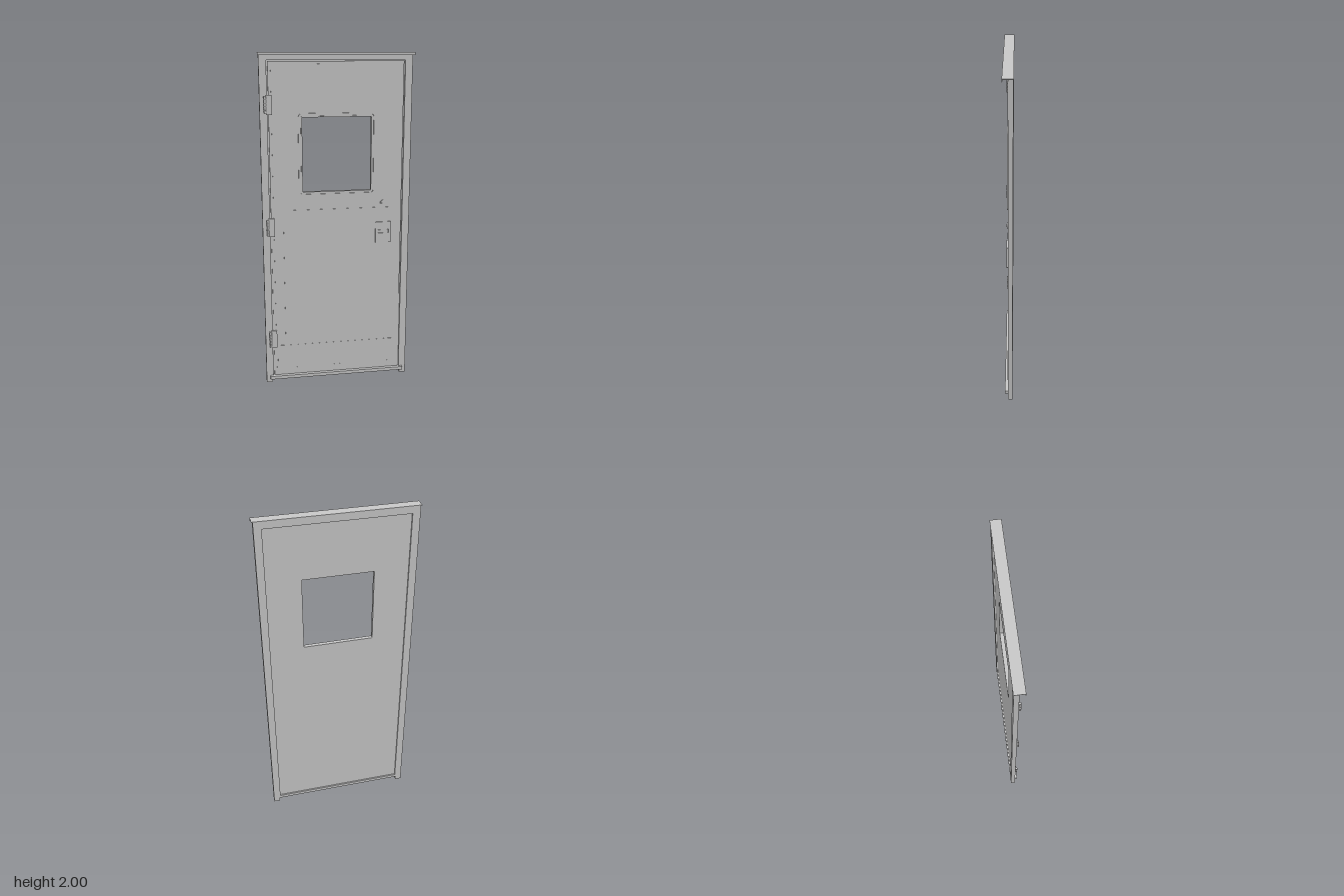
import * as THREE from 'three';

const steel = new THREE.MeshStandardMaterial({ color: 0xc7c7c7 });
steel.name = 'light grey steel';

// Rounded rectangle outline from its edges
function roundRect(Type, x0, x1, y0, y1, r) {
  const p = new Type();
  if (r === 0) {
    p.moveTo(x0, y0).lineTo(x1, y0).lineTo(x1, y1).lineTo(x0, y1).closePath();
    return p;
  }
  p.absarc(x1 - r, y0 + r, r, -Math.PI / 2, 0);
  p.absarc(x1 - r, y1 - r, r, 0, Math.PI / 2);
  p.absarc(x0 + r, y1 - r, r, Math.PI / 2, Math.PI);
  p.absarc(x0 + r, y0 + r, r, Math.PI, Math.PI * 1.5);
  p.closePath();
  return p;
}

export function createModel() {
  const model = new THREE.Group();
  model.name = 'door';

  function add(name, geometry, parent = model) {
    const mesh = new THREE.Mesh(geometry, steel);
    mesh.name = name;
    parent.add(mesh);
    return mesh;
  }
  function box(name, x0, x1, y0, y1, z0, z1, parent) {
    const g = new THREE.BoxGeometry(x1 - x0, y1 - y0, z1 - z0);
    g.translate((x0 + x1) / 2, (y0 + y1) / 2, (z0 + z1) / 2);
    return add(name, g, parent);
  }
  function slab(name, shape, z0, z1, parent) {
    const g = new THREE.ExtrudeGeometry(shape, { depth: z1 - z0, curveSegments: 6, bevelEnabled: false });
    g.translate(0, 0, z0);
    return add(name, g, parent);
  }
  function disc(name, x, y, z0, z1, r, parent, sides = 24) {
    const g = new THREE.CylinderGeometry(r, r, z1 - z0, sides);
    g.rotateX(Math.PI / 2).translate(x, y, (z0 + z1) / 2);
    return add(name, g, parent);
  }

  // Frame: two jambs and a head, open at the bottom
  const frame = new THREE.Shape([
    [-0.443, 0], [-0.405, 0], [-0.405, 0.03], [-0.4, 0.03], [-0.4, 1.956], [0.4, 1.956],
    [0.4, 0.03], [0.405, 0.03], [0.405, 0], [0.443, 0], [0.443, 1.985], [-0.443, 1.985],
  ].map(([x, y]) => new THREE.Vector2(x, y)));
  slab('frame', frame, -0.027, 0);

  // Drip cap: thin top plate with a front lip
  box('dripCap', -0.45, 0.45, 1.996, 2, -0.029, 0.029);
  box('dripLip', -0.45, 0.45, 1.983, 1.998, 0.026, 0.029);
  box('capSupport', -0.443, 0.443, 1.983, 1.997, -0.027, -0.001);

  // Threshold
  box('threshold', -0.405, 0.405, 0.025, 0.045, -0.027, 0.001);
  box('thresholdNose', -0.42, 0.42, 0.025, 0.045, 0, 0.018);

  // Door leaf: full-width core, a front layer leaving a narrow groove, and a raised face
  const leaf = (name, x, y0, y1, r, z0, z1) => {
    const s = roundRect(THREE.Shape, -x, x, y0, y1, r);
    s.holes.push(roundRect(THREE.Path, -0.203, 0.203, 1.203, 1.637, 0));
    slab(name, s, z0, z1);
  };
  leaf('doorCore', 0.401, 0.04, 1.957, 0, -0.018, -0.012);
  leaf('doorSkin', 0.393, 0.042, 1.951, 0, -0.012, -0.003);
  leaf('doorFace', 0.377, 0.06, 1.935, 0.015, -0.003, -0.0005);

  // Window surround in stepped rings
  const trim = new THREE.Group();
  trim.name = 'windowTrim';
  model.add(trim);
  const ring = (name, o, i, z1) => {
    const s = roundRect(THREE.Shape, -0.203 - o, 0.203 + o, 1.203 - o, 1.637 + o, 0.008 + o * 0.7);
    s.holes.push(roundRect(THREE.Path, -0.203 - i, 0.203 + i, 1.203 - i, 1.637 + i, 0.004 + i * 0.7));
    slab(name, s, -0.004, z1, trim);
  };
  ring('outerTrim', 0.023, 0.014, 0.006);
  ring('middleTrim', 0.015, 0.007, 0.001);
  ring('innerTrim', 0.008, 0, 0.005);

  // Thin protection plates and the row of rivets
  box('armorPlate', -0.32, 0.316, 0.24, 1.095, -0.003, 0.002);
  box('kickPlate', -0.37, 0.356, 0.075, 0.242, -0.003, 0.003);
  for (let i = 0; i < 20; i++) disc('rivet', -0.323 + i * 0.034, 0.09, 0.002, 0.004, 0.003, model, 8);

  // Hinges: leaf, mount, five knuckles on a pin
  for (const y of [0.288, 0.995, 1.71]) {
    const hinge = new THREE.Group();
    hinge.name = 'hinge';
    hinge.position.set(0, y, 0);
    model.add(hinge);
    box('hingeLeaf', -0.408, -0.373, -0.055, 0.055, -0.004, 0.009, hinge);
    box('hingeMount', -0.42, -0.407, -0.05, 0.05, -0.004, 0.003, hinge);
    for (let k = 0; k < 5; k++) {
      const knuckle = add('hingeKnuckle', new THREE.CylinderGeometry(0.007, 0.007, 0.0165, 16), hinge);
      knuckle.position.set(-0.413, (k - 2) * 0.0195, 0.0105);
    }
    const pin = add('hingePin', new THREE.CylinderGeometry(0.004, 0.004, 0.1, 12), hinge);
    pin.position.set(-0.413, 0, 0.0105);
  }

  // Latch plate with a recessed pull slot
  const latch = new THREE.Group();
  latch.name = 'latch';
  model.add(latch);
  const plate = roundRect(THREE.Shape, 0.235, 0.33, 0.875, 1.005, 0.004);
  plate.holes.push(roundRect(THREE.Path, 0.25, 0.315, 0.936, 0.958, 0));
  slab('latchPlate', plate, -0.003, 0.009, latch);
  box('latchPull', 0.252, 0.313, 0.939, 0.955, -0.001, 0.007, latch);
  disc('latchKeyhole', 0.283, 0.982, 0.008, 0.01, 0.005, latch, 16);

  // Deadbolt cylinder
  disc('deadboltRim', 0.28, 1.122, -0.003, 0.006, 0.017, model);
  disc('deadboltCore', 0.28, 1.122, 0.005, 0.008, 0.009, model);

  return model;
}
